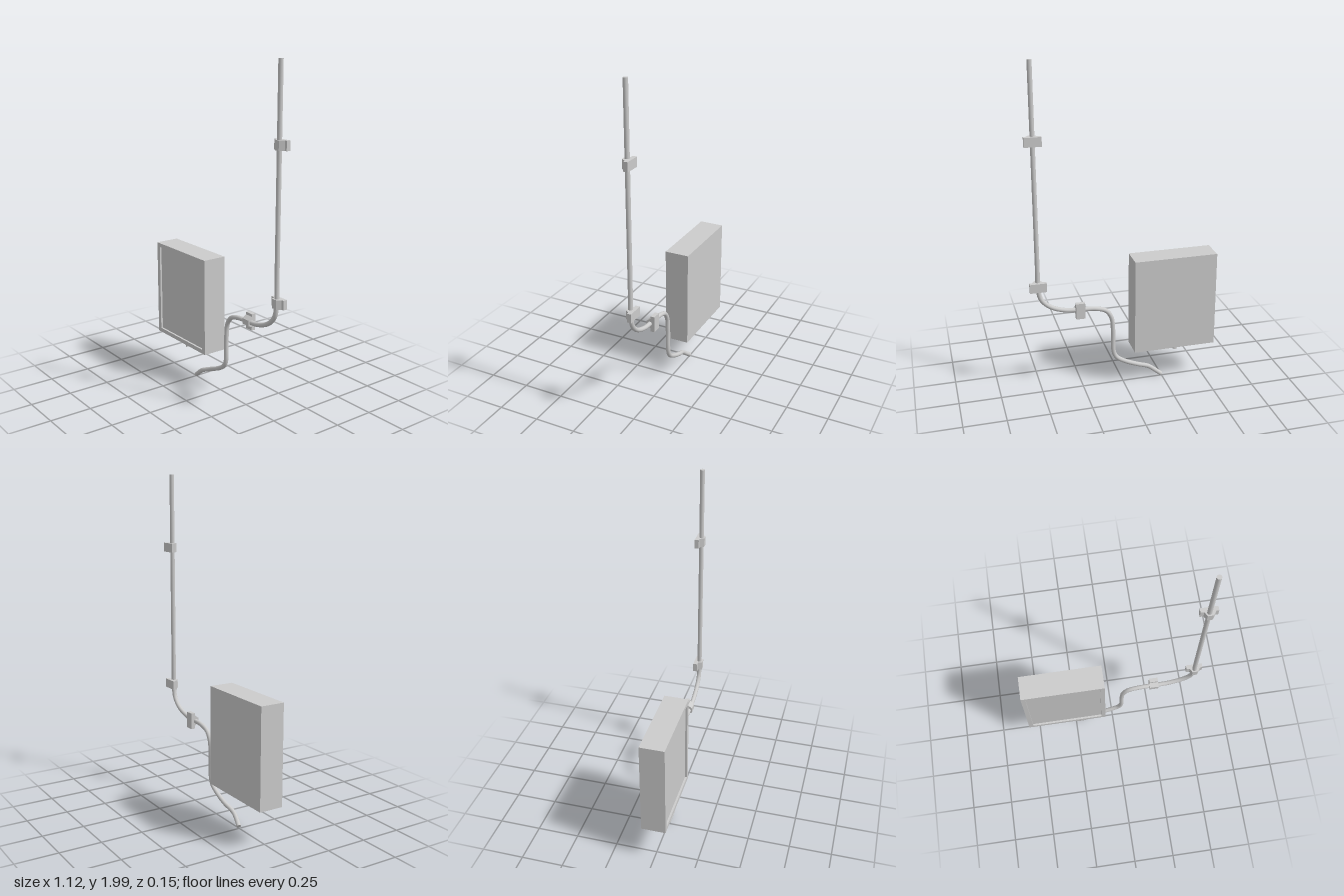
import * as THREE from 'three';

const material = new THREE.MeshStandardMaterial({ color: 0xcccccc });

function addMesh(parent, geometry, name) {
  const mesh = new THREE.Mesh(geometry, material);
  mesh.name = name;
  parent.add(mesh);
  return mesh;
}

// Round pipe along a smooth path, closed with a disc at both ends
function makePipe(points, radius, segments, name) {
  const group = new THREE.Group();
  group.name = name;
  const curve = new THREE.CatmullRomCurve3(points.map(p => new THREE.Vector3(...p)), false, 'centripetal');
  curve.arcLengthDivisions = 600;
  addMesh(group, new THREE.TubeGeometry(curve, segments, radius, 16), name + 'Tube');
  for (const t of [0, 1]) {
    const cap = addMesh(group, new THREE.CircleGeometry(radius, 16), name + 'End');
    const outward = curve.getTangent(t).multiplyScalar(t ? 1 : -1);
    cap.quaternion.setFromUnitVectors(new THREE.Vector3(0, 0, 1), outward);
    cap.position.copy(curve.getPoint(t));
  }
  return group;
}

// Wall clamp: flat back plate with a tapered saddle, extruded along the pipe
function makeClamp(name) {
  const profile = [[-0.049, -0.03], [0.049, -0.03], [0.049, -0.005], [0.034, -0.005],
    [0.016, 0.02], [-0.016, 0.02], [-0.029, -0.005], [-0.049, -0.005]];
  const shape = new THREE.Shape(profile.map(([x, z]) => new THREE.Vector2(x, -z)));
  const geometry = new THREE.ExtrudeGeometry(shape, { depth: 0.054, bevelEnabled: false });
  geometry.translate(0, 0, -0.027).rotateX(-Math.PI / 2);
  const mesh = new THREE.Mesh(geometry, material);
  mesh.name = name;
  return mesh;
}

function rectangle(Type, w, h) {
  return new Type([[-w, -h], [w, -h], [w, h], [-w, h]].map(([x, y]) => new THREE.Vector2(x / 2, y / 2)));
}

export function createModel() {
  const model = new THREE.Group();
  model.name = 'wallBoxWithPipe';

  // Cabinet: solid body, raised front rim around a recessed door
  const cabinet = new THREE.Group();
  cabinet.name = 'cabinet';
  cabinet.position.set(-0.308, 0.525, 0);
  const width = 0.504, height = 0.59, back = -0.073, front = 0.073, recess = 0.012;
  const depth = front - recess - back;
  addMesh(cabinet, new THREE.BoxGeometry(width, height, depth), 'cabinetBody').position.z = back + depth / 2;
  const rim = rectangle(THREE.Shape, width, height);
  rim.holes.push(rectangle(THREE.Path, 0.45, 0.54));
  addMesh(cabinet, new THREE.ExtrudeGeometry(rim, { depth: recess, bevelEnabled: false }), 'frontRim')
    .position.z = front - recess;
  model.add(cabinet);

  // Short stub under the cabinet
  model.add(makePipe([[-0.345, 0.25, 0.014], [-0.341, 0.21, 0.008], [-0.333, 0.178, 0.004]], 0.012, 8, 'outletStub'));

  // Long pipe: riser, two bends and a loose tail
  model.add(makePipe([
    [0.505, 2, 0], [0.505, 1.4, 0], [0.505, 0.8, 0], [0.505, 0.69, 0],
    [0.49, 0.62, 0], [0.44, 0.568, 0], [0.352, 0.534, 0], [0.257, 0.526, 0],
    [0.167, 0.52, 0], [0.103, 0.498, 0], [0.071, 0.45, 0], [0.061, 0.36, 0],
    [0.058, 0.22, 0], [0.04, 0.178, 0], [-0.013, 0.142, 0], [-0.09, 0.109, 0],
    [-0.167, 0.076, 0.012], [-0.205, 0.048, 0.01], [-0.246, 0.017, 0],
  ], 0.0135, 200, 'pipe'));

  // Clamps on the riser and on the horizontal run
  for (const [x, y, turn] of [[0.507, 1.563, 0], [0.507, 0.704, 0], [0.263, 0.527, Math.PI / 2]]) {
    const clamp = makeClamp('pipeClamp');
    clamp.position.set(x, y, 0);
    clamp.rotation.z = turn;
    model.add(clamp);
  }
  return model;
}
